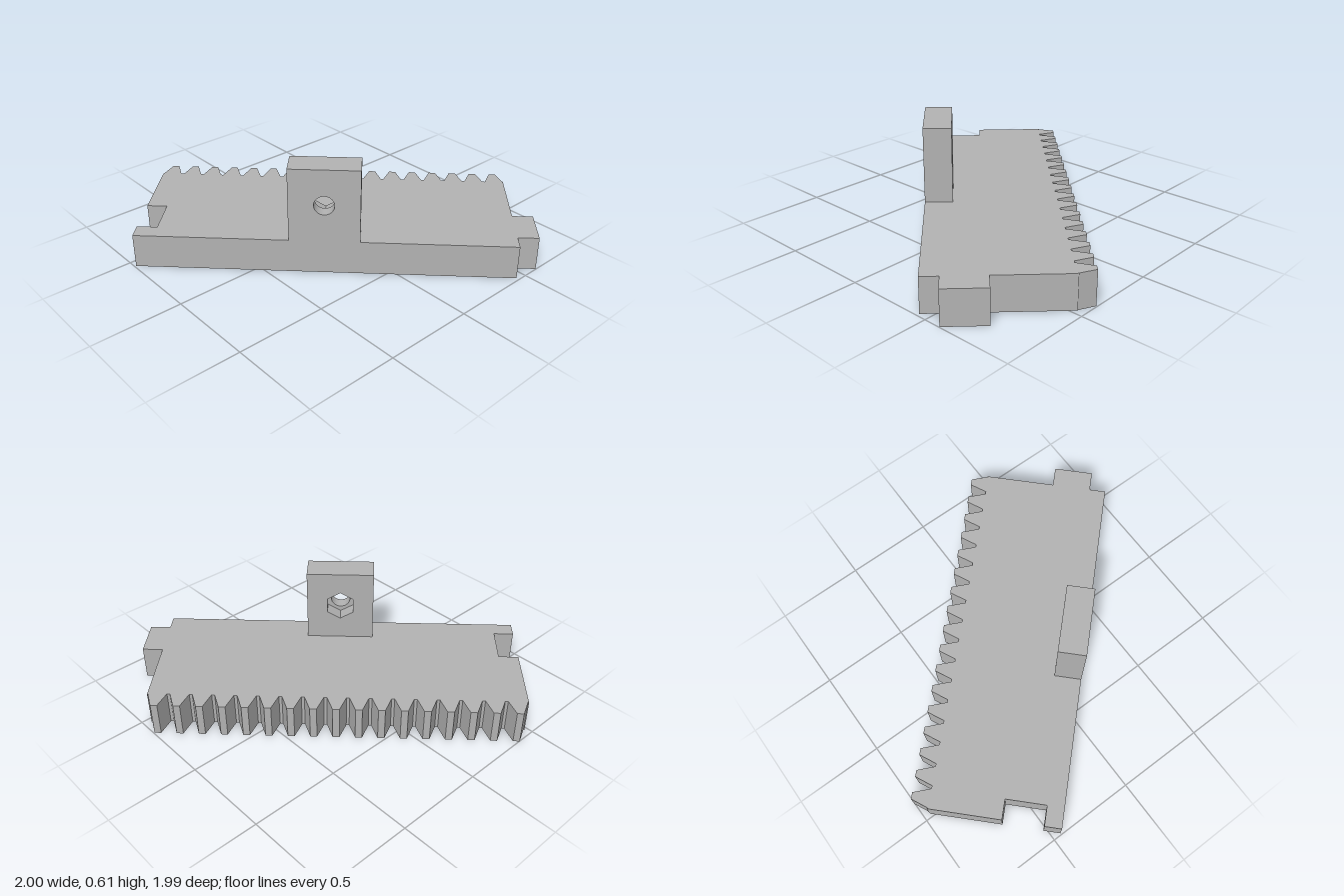
import * as THREE from 'three';

const PLATE_H = 0.192, TOP = 0.61, FRONT = 0.377;

// Closed shape from a list of points
const outline = (pts) => new THREE.Shape(pts.map(([x, y]) => new THREE.Vector2(x, y)));

// Plate outline: u runs along the rack, v runs from the teeth to the front edge
function rackOutline() {
  const pts = [
    [-1.016, FRONT], [1.014, FRONT], [1.014, 0.283],
    [1.128, 0.283], [1.128, 0.057], [1.014, 0.057], // joining tab
    [1.014, -0.347],
  ];
  // Seventeen trapezoid teeth, from the tab end to the socket end
  const tip = 0.018, root = 0.052;
  for (let i = 16; i >= 0; i--) {
    const c = -0.96 + i * 0.12;
    pts.push([c + root, -0.34], [c + tip, -0.438], [c - tip, -0.438], [c - root, -0.34]);
  }
  pts.push(
    [-1.016, -0.347], [-1.016, 0.057],
    [-0.905, 0.057], [-0.905, 0.283], [-1.016, 0.283], // matching socket
  );
  return outline(pts.map(([u, v]) => [u, -v]));
}

// Upright slab of the lug with one hole through it
function lugSlab(holePath, depth, z) {
  const w = 0.188;
  const shape = outline([[-w, PLATE_H], [w, PLATE_H], [w, TOP], [-w, TOP]]);
  shape.holes.push(holePath);
  const geo = new THREE.ExtrudeGeometry(shape, { depth, bevelEnabled: false, curveSegments: 32 });
  return geo.translate(0, 0, z);
}

export function createModel() {
  const model = new THREE.Group();
  const grey = new THREE.MeshStandardMaterial({ color: 0xb2b2b2 });
  grey.name = 'grey';

  const add = (name, geo) => {
    const mesh = new THREE.Mesh(geo, grey);
    mesh.name = name;
    model.add(mesh);
  };

  // Toothed plate with tab and socket
  const plate = new THREE.ExtrudeGeometry(rackOutline(), { depth: PLATE_H, bevelEnabled: false });
  add('rackPlate', plate.rotateX(-Math.PI / 2));

  // Mounting lug: round bolt hole in front, hexagonal nut recess behind
  const holeY = 0.405, recess = 0.08, back = 0.226;
  const bolt = new THREE.Path().absarc(0, holeY, 0.054, 0, Math.PI * 2, true);
  const nut = new THREE.Path();
  nut.setFromPoints(Array.from({ length: 6 }, (_, i) => {
    const a = Math.PI / 2 - i * Math.PI / 3;
    return new THREE.Vector2(0.085 * Math.cos(a), holeY + 0.085 * Math.sin(a));
  }));
  add('lugFront', lugSlab(bolt, FRONT - back - recess, back + recess));
  add('lugNutRecess', lugSlab(nut, recess, back));

  // The rack lies diagonally
  model.rotation.y = Math.PI / 4;
  model.position.z = 0.006;
  const root = new THREE.Group();
  root.name = 'gearRack';
  root.add(model);
  return root;
}
